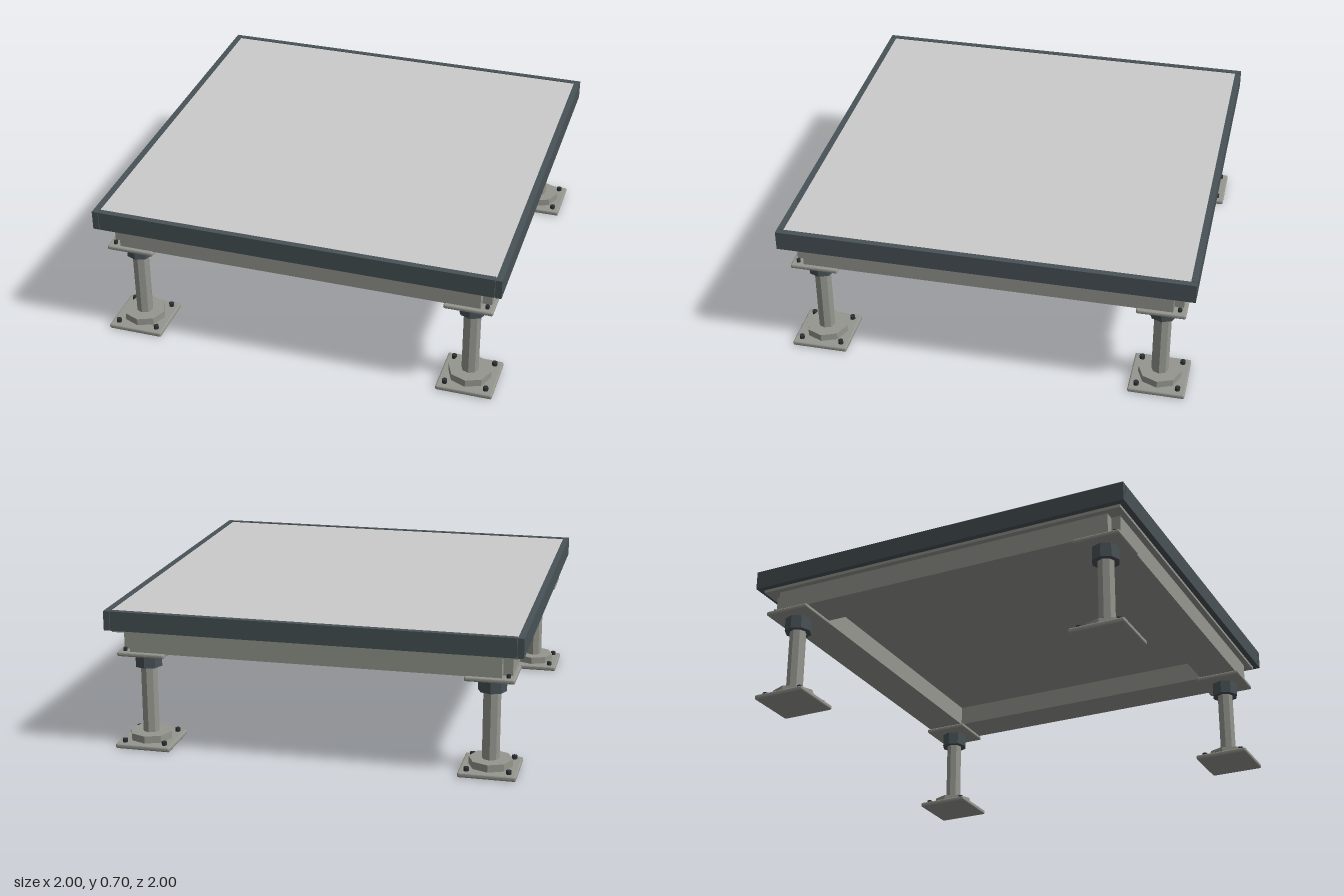
import * as THREE from 'three';
import { RoundedBoxGeometry } from 'three/addons/geometries/RoundedBoxGeometry.js';

const mat = (color) => new THREE.MeshStandardMaterial({ color, flatShading: true });

export function createModel() {
  const model = new THREE.Group();
  const steel = mat(0x94968e), dark = mat(0x485256), bolt = mat(0x2c3134), top = mat(0xcccccc);

  const add = (parent, name, geometry, material, x, y, z) => {
    const mesh = new THREE.Mesh(geometry, material);
    mesh.name = name;
    mesh.position.set(x, y, z);
    parent.add(mesh);
    return mesh;
  };
  const box = (parent, name, w, h, d, material, x, y, z) =>
    add(parent, name, new THREE.BoxGeometry(w, h, d), material, x, y, z);
  // Upright prism given by its bottom and top heights
  const prism = (parent, name, r, y0, y1, sides, material, x = 0, z = 0) =>
    add(parent, name, new THREE.CylinderGeometry(r, r, y1 - y0, sides), material, x, (y0 + y1) / 2, z);

  // Floor panel with its lower tray
  box(model, 'panelTop', 1.94, 0.09, 1.94, top, 0, 0.652, 0);
  box(model, 'panelTray', 1.94, 0.017, 1.94, steel, 0, 0.5985, 0);

  // Edge trim: full-length sides, shorter front and back strips between them
  for (const s of [-1, 1]) {
    box(model, 'sideTrim', 0.03, 0.095, 2, dark, s * 0.985, 0.6525, 0);
    box(model, 'endTrim', 1.934, 0.095, 0.03, dark, 0, 0.6525, s * 0.985);
  }

  // Frame of beams, notched at its outer corners
  const outer = 0.94, inner = 0.74, notch = 0.895, y0 = 0.485, y1 = 0.592;
  const frame = new THREE.Shape([
    [notch, outer], [-notch, outer], [-notch, notch], [-outer, notch],
    [-outer, -notch], [-notch, -notch], [-notch, -outer], [notch, -outer],
    [notch, -notch], [outer, -notch], [outer, notch], [notch, notch],
  ].map(([x, y]) => new THREE.Vector2(x, y)));
  frame.holes.push(new THREE.Path([
    [inner, inner], [inner, -inner], [-inner, -inner], [-inner, inner],
  ].map(([x, y]) => new THREE.Vector2(x, y))));
  const frameGeometry = new THREE.ExtrudeGeometry(frame, { depth: y1 - y0, bevelEnabled: false });
  frameGeometry.rotateX(-Math.PI / 2);
  add(model, 'beamFrame', frameGeometry, steel, 0, y0, 0);

  // Four adjustable pedestals
  for (const sx of [-1, 1]) for (const sz of [-1, 1]) {
    const leg = new THREE.Group();
    leg.name = 'pedestal';
    leg.position.set(sx * 0.84, 0, sz * 0.84);
    model.add(leg);

    add(leg, 'basePlate', new RoundedBoxGeometry(0.275, 0.024, 0.275, 2, 0.008), steel, 0, 0.012, 0);
    prism(leg, 'baseCollar', 0.105, 0.023, 0.06, 8, steel);
    prism(leg, 'shaft', 0.042, 0.05, 0.47, 8, steel);
    prism(leg, 'levellingNut', 0.068, 0.395, 0.467, 8, dark);
    add(leg, 'headPlate', new RoundedBoxGeometry(0.235, 0.022, 0.235, 2, 0.008), steel, 0, 0.476, 0);

    // Base bolts at every corner, one head bolt in the frame notch
    for (const bx of [-1, 1]) for (const bz of [-1, 1])
      prism(leg, 'baseBolt', 0.013, 0.02, 0.042, 8, bolt, bx * 0.1, bz * 0.1);
    prism(leg, 'headBolt', 0.01, 0.48, 0.503, 8, bolt, sx * 0.085, sz * 0.085);
  }
  return model;
}
